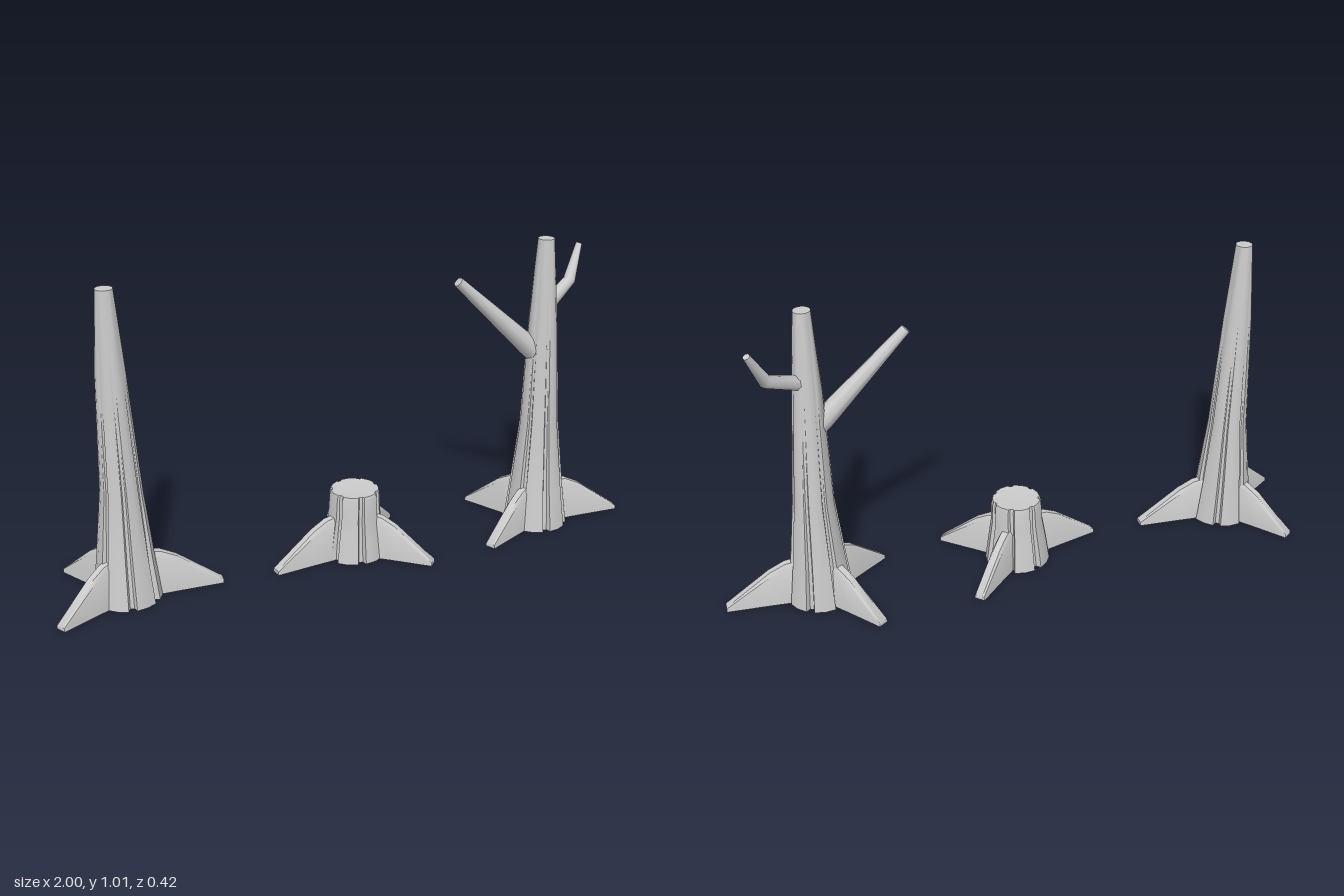
import * as THREE from 'three';
import { toCreasedNormals } from 'three/addons/utils/BufferGeometryUtils.js';

const bark = new THREE.MeshStandardMaterial({ color: 0xcccccc, side: THREE.DoubleSide });
const V = (x, y, z) => new THREE.Vector3(x, y, z);

// Skin joining rows of points; closed rows wrap round
function skin(name, rows, closed, crease) {
  const pos = [];
  const tri = (a, b, c) => {
    const area = b.clone().sub(a).cross(c.clone().sub(a)).length();
    if (area > 1e-9) for (const p of [a, b, c]) pos.push(p.x, p.y, p.z);
  };
  for (let i = 0; i < rows.length - 1; i++) {
    const n = rows[i].length;
    for (let j = 0; j < (closed ? n : n - 1); j++) {
      const k = (j + 1) % n;
      tri(rows[i][j], rows[i + 1][j], rows[i][k]);
      tri(rows[i][k], rows[i + 1][j], rows[i + 1][k]);
    }
  }
  const g = new THREE.BufferGeometry();
  g.setAttribute('position', new THREE.Float32BufferAttribute(pos, 3));
  const mesh = new THREE.Mesh(toCreasedNormals(g, crease), bark);
  mesh.name = name;
  return mesh;
}

// Fluted trunk, open below; rings are [y, x, z, radius, groove depth]
function trunk(name, rings, dip) {
  const lobes = 7;
  const lobe = [[0, 0], [0.36, 0], [0.72, 0], [0.78, 1], [0.94, 1]];
  const rows = rings.map(([y, x, z, r, groove]) => {
    const row = [];
    for (let k = 0; k < lobes; k++) {
      for (const [t, inset] of lobe) {
        const a = (k + t) / lobes * Math.PI * 2;
        const q = r * (1 - inset * groove);
        row.push(V(x + q * Math.cos(a), y, z + q * Math.sin(a)));
      }
    }
    return row;
  });
  // top cap
  const [y, x, z] = rings[rings.length - 1];
  rows.push(rows[0].map(() => V(x, y - dip, z)));
  return skin(name, rows, true, 0.85);
}

// Fin-shaped root running out along +x, open below
function root(length) {
  // [distance, height, half width at ground, half width on top]
  const profile = [
    [length, 0, 0.018, 0.018], [length, 0.013, 0.018, 0.016],
    [length * 0.53, 0.118, 0.024, 0.018], [length * 0.36, 0.143, 0.027, 0.019],
    [0.055, 0.15, 0.028, 0.02],
  ];
  const rows = profile.map(([d, h, wb, wt]) => [
    V(d, 0, -wb), V(d, h * 0.9, -wt), V(d, h, -wt * 0.6),
    V(d, h, wt * 0.6), V(d, h * 0.9, wt), V(d, 0, wb),
  ]);
  return skin('root', rows, false, 0.9);
}

// Roots set by their tips around a centre
function roots(cx, cz, tips) {
  const group = new THREE.Group();
  group.name = 'roots';
  for (const [x, z] of tips) {
    const r = root(Math.hypot(x - cx, z - cz));
    r.position.set(cx, 0, cz);
    r.rotation.y = -Math.atan2(z - cz, x - cx);
    group.add(r);
  }
  return group;
}

// Tapered branch through points with matching radii
function branch(name, points, radii) {
  const rows = points.map((p, i) => {
    const d = V(0, 0, 0);
    if (i > 0) d.add(p.clone().sub(points[i - 1]).normalize());
    if (i < points.length - 1) d.add(points[i + 1].clone().sub(p).normalize());
    d.normalize();
    const u = d.clone().cross(V(0, 0, 1)).normalize();
    const v = u.clone().cross(d);
    return Array.from({ length: 8 }, (_, k) => {
      const a = k / 8 * Math.PI * 2;
      return p.clone().addScaledVector(u, radii[i] * Math.cos(a)).addScaledVector(v, radii[i] * Math.sin(a));
    });
  });
  rows.push(rows[0].map(() => points[points.length - 1].clone()));
  return skin(name, rows, true, 0.95);
}

// Tall dead tree
function tree(name, x) {
  const group = new THREE.Group();
  group.name = name;
  group.position.x = x;
  group.add(trunk('trunk', [
    [0, 0.003, 0.026, 0.108, 0.16],
    [0.14, 0.003, 0.022, 0.091, 0.13],
    [0.37, 0.004, 0.018, 0.066, 0.08],
    [0.75, -0.007, 0.025, 0.047, 0.03],
    [1.015, -0.01, 0.025, 0.027, 0],
  ], 0));
  group.add(roots(0, 0.025, [[0.308, 0.045], [-0.145, -0.205], [-0.237, 0.16]]));
  return group;
}

export function createModel() {
  const model = new THREE.Group();
  model.name = 'deadTrees';

  model.add(tree('bareTree', -0.755));

  // Branched tree
  const branched = tree('branchedTree', 0.692);
  branched.add(branch('straightBranch',
    [V(0.0, 0.6, 0.02), V(-0.06, 0.655, 0.021), V(-0.322, 0.903, 0.027)], [0.036, 0.035, 0.017]));
  branched.add(branch('bentBranch',
    [V(0.01, 0.782, 0.018), V(0.125, 0.838, -0.045), V(0.178, 0.948, -0.086)], [0.025, 0.021, 0.011]));
  model.add(branched);

  // Stump
  const stump = new THREE.Group();
  stump.name = 'stump';
  stump.add(trunk('stumpTrunk', [
    [0, 0.02, 0.008, 0.108, 0.16],
    [0.08, 0.021, 0.008, 0.097, 0.15],
    [0.15, 0.022, 0.009, 0.086, 0.12],
    [0.215, 0.023, 0.01, 0.083, 0.08],
    [0.23, 0.023, 0.01, 0.079, 0.08],
  ], 0.005));
  stump.add(roots(0.02, 0.01, [[-0.273, 0.065], [0.22, -0.185], [0.228, 0.195]]));
  model.add(stump);
  return model;
}
